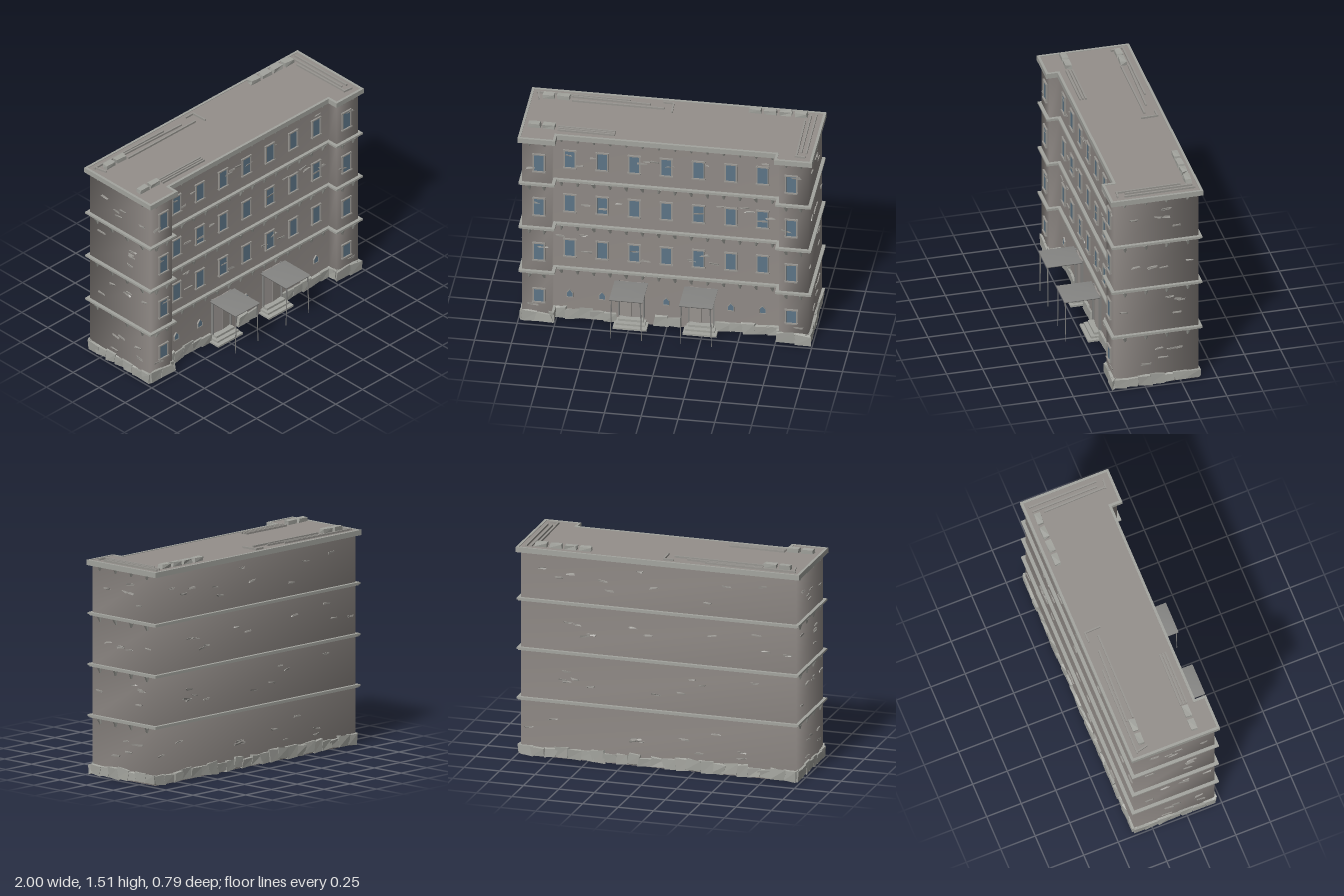
import * as THREE from 'three';
import { mergeGeometries, mergeVertices } from 'three/addons/utils/BufferGeometryUtils.js';

const mat = (name, color, side = THREE.FrontSide) => {
  const m = new THREE.MeshStandardMaterial({ color, side });
  m.name = name;
  return m;
};

// Footprint, counter-clockwise from above, grown outward by o
const outline = (o = 0) => {
  const X = 0.972 + o, I = 0.772 - o, F = 0.21 + o, M = 0.132 + o, B = -0.373 - o;
  return [[-X, F], [-I, F], [-I, M], [I, M], [I, F], [X, F], [X, B], [-X, B]];
};

// Horizontal slab or ring following the footprint
function slab(outer, inner, y, h) {
  const pts = (o) => outline(o).map(([x, z]) => new THREE.Vector2(x, -z));
  const s = new THREE.Shape(pts(outer));
  if (inner !== null) s.holes.push(new THREE.Path(pts(inner)));
  return new THREE.ExtrudeGeometry(s, { depth: h, bevelEnabled: false }).rotateX(-Math.PI / 2).translate(0, y, 0);
}

// Open wall shell with shared, softly shaded corners
function wallShell(y0, y1) {
  const pts = outline(), n = pts.length, pos = [], idx = [];
  pts.forEach(([x, z]) => pos.push(x, y0, z, x, y1, z));
  for (let i = 0; i < n; i++) {
    const a = 2 * i, b = 2 * ((i + 1) % n);
    idx.push(a, b, b + 1, a, b + 1, a + 1);
  }
  const g = new THREE.BufferGeometry();
  g.setAttribute('position', new THREE.Float32BufferAttribute(pos, 3));
  g.setIndex(idx);
  g.computeVertexNormals();
  return g;
}

export function createModel() {
  const root = new THREE.Group();
  const M = {
    wall: mat('wall grey', 0x918b87, THREE.DoubleSide),
    roof: mat('roof grey', 0x948f8b),
    trim: mat('pale stone', 0xa3a49e),
    chip: mat('brick grey', 0x989691),
    glass: mat('window blue', 0x5d7587),
    door: mat('door grey', 0x98938f),
    metal: mat('canopy metal', 0x858583),
  };
  let seed = 7;
  const rnd = () => (seed = (seed * 16807) % 2147483647) / 2147483647;
  const add = (name, geos, material) => {
    const list = [].concat(geos).map((g) => {
      const c = g.index ? g.toNonIndexed() : g;
      c.deleteAttribute('uv');
      return c;
    });
    const mesh = new THREE.Mesh(mergeGeometries(list), material);
    mesh.name = name;
    root.add(mesh);
  };
  const box = (w, h, d, x, y, z) => new THREE.BoxGeometry(w, h, d).translate(x, y, z);

  // Uneven stone: box whose eight corners are nudged
  function rough(w, h, d, k) {
    const g = new THREE.BoxGeometry(w, h, d).toNonIndexed(), p = g.attributes.position;
    const r = Array.from({ length: 24 }, () => (rnd() - 0.5) * k);
    for (let i = 0; i < p.count; i++) {
      const x = p.getX(i), y = p.getY(i), z = p.getZ(i);
      const c = 3 * ((x > 0) + 2 * (y > 0) + 4 * (z > 0));
      p.setXYZ(i, x + r[c] * w, y + r[c + 1] * h, z + r[c + 2] * d);
    }
    g.computeVertexNormals();
    return g;
  }

  // Wall edges with helper to seat a geometry (local +z outward)
  const pts = outline();
  const edges = pts.map(([ax, az], i) => {
    const [bx, bz] = pts[(i + 1) % pts.length];
    const len = Math.hypot(bx - ax, bz - az), dx = (bx - ax) / len, dz = (bz - az) / len;
    const angle = Math.atan2(-dz, dx);
    return { len, back: i === 6, side: i === 5 || i === 7, inner: i === 1 || i === 3, main: i === 2,
      seat: (g, s, y) => g.rotateY(angle).translate(ax + dx * s, y, az + dz * s) };
  });

  // Walls, floor ledges and roof
  const levels = [0, 0.4, 0.75, 1.1, 1.45];
  for (let i = 0; i < 4; i++) add('wallFloor' + (i + 1), wallShell(levels[i], levels[i + 1]), M.wall);
  const ledges = [];
  for (const y of levels.slice(1, 4)) ledges.push(slab(0.014, -0.004, y - 0.012, 0.008), slab(0.023, -0.004, y - 0.004, 0.014));
  add('floorLedges', ledges, M.trim);
  add('roofSlab', slab(0.012, null, 1.434, 0.03), M.roof);
  add('roofRim', slab(0.028, 0.01, 1.432, 0.036), M.trim);

  // Tapered brackets under each ledge
  const brackets = [];
  for (const e of edges) {
    if (e.back || e.inner) continue;
    const n = e.main ? 14 : e.side ? 4 : 2;
    for (const y of levels.slice(1)) for (let k = 0; k < n; k++) {
      const g = new THREE.CylinderGeometry(0.02, 0.007, 0.036, 4, 1).rotateY(Math.PI / 4).scale(1, 1, 1.1);
      brackets.push(e.seat(g.rotateZ((rnd() - 0.5) * 0.5), ((k + 0.5) / n) * e.len, y - 0.03));
    }
  }
  add('ledgeBrackets', brackets, M.trim);

  // Scattered raised bricks
  const bricks = [];
  for (const e of edges) {
    if (e.inner) continue;
    const n = e.back ? 10 : e.main ? 9 : e.side ? 5 : 1;
    for (let f = 0; f < 4; f++) for (let k = 0; k < n; k++) {
      if (e.main && f === 0) continue;
      const g = rough(0.055, 0.011, 0.014, 0.5).rotateZ((rnd() - 0.5) * 0.3);
      bricks.push(e.seat(g, 0.05 + rnd() * (e.len - 0.1), levels[f] + 0.1 + rnd() * 0.18));
    }
  }
  add('raisedBricks', bricks, M.chip);

  // Rough plinth stones, leaving the two doorways free
  const plinth = [];
  const doors = [-0.24, 0.235];
  for (const e of edges) {
    const n = Math.max(1, Math.round(e.len / 0.085)), w = e.len / n;
    for (let k = 0; k < n; k++) {
      const s = (k + 0.5) * w;
      if (e.main && doors.some((d) => Math.abs(s - e.len / 2 - d) < 0.13)) continue;
      const h = 0.06 + rnd() * 0.02;
      plinth.push(e.seat(rough(w * 1.12, h, 0.034, 0.3), s, h / 2 + 0.006));
    }
  }
  add('plinthStones', plinth, M.trim);

  // Windows with frames
  const glass = [], frames = [];
  function windowAt(x, y, z, w, h) {
    glass.push(box(w, h, 0.012, x, y, z));
    for (const s of [-1, 1]) {
      frames.push(box(0.009, h + 0.012, 0.024, x + s * w / 2, y, z).rotateY(0));
      frames.push(box(w + 0.016, 0.009, s < 0 ? 0.034 : 0.024, x, y + s * h / 2, z));
    }
  }
  const columns = [-0.66, -0.44, -0.222, -0.004, 0.215, 0.435, 0.65];
  for (const y of [0.562, 0.92, 1.27]) {
    columns.forEach((x) => windowAt(x, y, 0.132, 0.075, 0.135));
    for (const s of [-1, 1]) windowAt(s * 0.857, y, 0.21, 0.075, 0.135);
  }
  for (const s of [-1, 1]) windowAt(s * 0.857, 0.213, 0.21, 0.075, 0.105);

  // Small pointed ground-floor windows
  const pointed = (k) => new THREE.Shape([[-1, -1.3], [1, -1.3], [1, 0.3], [0, 1.5], [-1, 0.3]].map(([x, y]) => new THREE.Vector2(x * k, y * k)));
  for (const x of [-0.66, -0.44, -0.004, 0.435, 0.65]) {
    glass.push(new THREE.ExtrudeGeometry(pointed(0.019), { depth: 0.012, bevelEnabled: false }).translate(x, 0.197, 0.126));
    const ring = pointed(0.023);
    ring.holes.push(new THREE.Path(pointed(0.019).getPoints()));
    frames.push(new THREE.ExtrudeGeometry(ring, { depth: 0.02, bevelEnabled: false }).translate(x, 0.197, 0.122));
  }
  add('windowGlass', glass, M.glass);
  add('windowFrames', frames, M.chip);

  // Entrances: folded door leaves, steps, canopy and slim posts
  const leaves = [], steps = [], posts = [], canopies = [];
  for (const x of doors) {
    for (const s of [-1, 1]) {
      leaves.push(new THREE.BoxGeometry(0.078, 0.275, 0.012).rotateY(s * 0.12).translate(x + s * 0.04, 0.193, 0.137));
      posts.push(box(0.008, 0.28, 0.02, x + s * 0.085, 0.195, 0.14));
      posts.push(new THREE.CylinderGeometry(0.005, 0.0025, 0.305, 5).rotateZ(s * 0.03).translate(x + s * 0.102, 0.18, 0.383));
    }
    steps.push(box(0.17, 0.016, 0.05, x, 0.047, 0.155), box(0.2, 0.014, 0.075, x, 0.028, 0.168), box(0.23, 0.014, 0.1, x, 0.009, 0.18));
    const c = new THREE.BoxGeometry(0.228, 0.006, 0.245, 2, 1, 2);
    c.deleteAttribute('normal');
    c.deleteAttribute('uv');
    const soft = mergeVertices(c);
    soft.computeVertexNormals();
    canopies.push(soft.translate(x, 0.335, 0.27));
  }
  add('doorLeaves', leaves, M.door);
  add('entranceSteps', steps, M.trim);
  add('canopyPosts', posts, M.metal);
  add('canopyRoofs', canopies, M.metal);

  // Roof vents
  const vents = [];
  const ventSpots = [[0.525, -0.332], [0.63, -0.332], [0.735, -0.332], [0.84, -0.33], [-0.87, -0.295], [-0.768, -0.295], [-0.91, 0.073], [-0.81, 0.073]];
  for (const [x, z] of ventSpots) vents.push(rough(0.082, 0.03, 0.042, 0.15).translate(x, 1.484, z));
  add('roofVents', vents, M.trim);

  // Roof pipes as x0, z0, x1, z1
  const pipes = [
    [-0.75, 0.055, -0.36, 0.06], [-0.75, 0.075, -0.36, 0.08], [-0.75, 0.097, -0.36, 0.1],
    [-0.96, -0.345, -0.32, -0.338], [-0.72, -0.325, -0.18, -0.308], [-0.71, -0.275, -0.08, -0.272],
    [-0.1, -0.348, -0.025, -0.348], [-0.03, -0.35, -0.025, -0.235], [-0.95, -0.35, -0.93, -0.26],
    [0.875, -0.275, 0.885, 0.175], [0.905, -0.35, 0.91, 0.12], [0.94, -0.36, 0.945, 0.13], [0.875, 0.17, 0.945, 0.178],
  ].map(([x0, z0, x1, z1]) => new THREE.BoxGeometry(Math.hypot(x1 - x0, z1 - z0), 0.014, 0.011)
    .rotateY(-Math.atan2(z1 - z0, x1 - x0)).translate((x0 + x1) / 2, 1.47, (z0 + z1) / 2));
  add('roofPipes', pipes, M.chip);

  return root;
}
